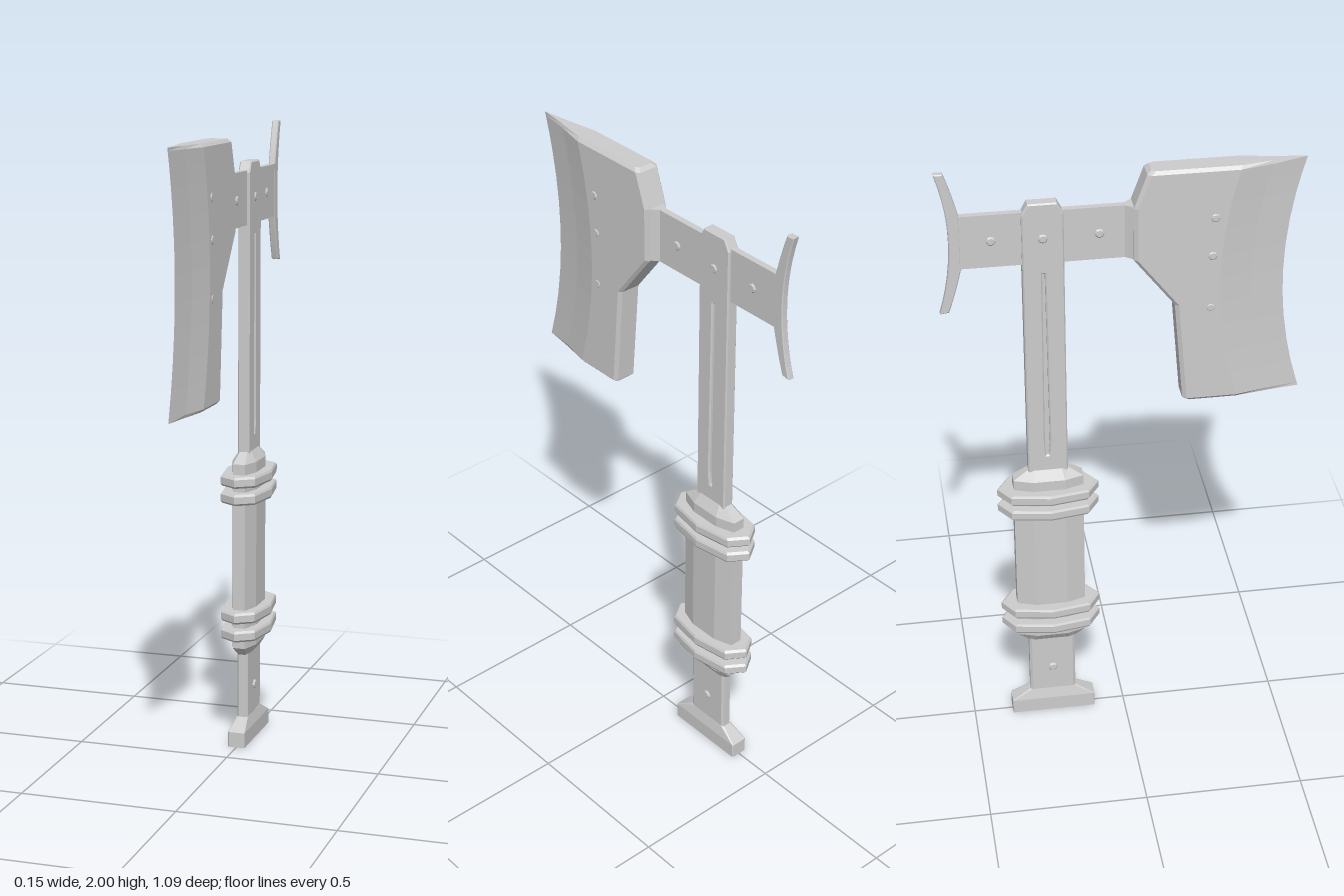
import * as THREE from 'three';

const HANDLE_Z = -0.237;
const material = new THREE.MeshStandardMaterial({ color: 0xcccccc, flatShading: true, side: THREE.DoubleSide });

// Skin a stack of equal-length rings of [x, y, z] points and close both ends.
function loft(rings) {
  const pos = [];
  const tri = (a, b, c) => pos.push(...a, ...b, ...c);
  const n = rings[0].length;
  for (let i = 0; i < rings.length - 1; i++) {
    for (let j = 0; j < n; j++) {
      const k = (j + 1) % n;
      const a = rings[i][j], b = rings[i][k], c = rings[i + 1][k], d = rings[i + 1][j];
      tri(a, d, b);
      tri(b, d, c);
    }
  }
  const low = rings[0], top = rings[rings.length - 1];
  for (let j = 1; j < n - 1; j++) {
    tri(low[0], low[j], low[j + 1]);
    tri(top[0], top[j + 1], top[j]);
  }
  const g = new THREE.BufferGeometry();
  g.setAttribute('position', new THREE.Float32BufferAttribute(pos, 3));
  g.computeVertexNormals();
  return g;
}

// Rectangle with cut corners around the handle axis.
function cutRing(y, hx, hz, cx, cz) {
  return [[hx, hz - cz], [hx - cx, hz], [cx - hx, hz], [-hx, hz - cz],
    [-hx, cz - hz], [cx - hx, -hz], [hx - cx, -hz], [hx, cz - hz]]
    .map(([x, z]) => [x, y, HANDLE_Z + z]);
}

// Eight-sided collar outline with a point at each end.
function collarRing(y, s) {
  return [[0.077, 0], [0.057, 0.122], [0, 0.16], [-0.057, 0.122],
    [-0.077, 0], [-0.057, -0.122], [0, -0.16], [0.057, -0.122]]
    .map(([x, z]) => [x * s, y, HANDLE_Z + z * s]);
}

// Extrude a (z, y) side outline across x, centred on x = 0.
function sidePlate(shape, width, bevel) {
  const g = new THREE.ExtrudeGeometry(shape, {
    depth: width - 2 * bevel, bevelEnabled: bevel > 0, bevelThickness: bevel,
    bevelSize: bevel, bevelOffset: -bevel, bevelSegments: 1, curveSegments: 12,
  });
  g.translate(0, 0, bevel - width / 2);
  g.rotateY(-Math.PI / 2);
  return g;
}

const outline = (pts) => new THREE.Shape(pts.map(([z, y]) => new THREE.Vector2(z, y)));

// Blade cross-section at height y; inset trims the chamfered end rows.
function bladeRing(y, back, inset) {
  const edge = 0.485 + 0.063 * ((y - 1.59) / 0.4) ** 2;
  const start = edge - 0.2, mid = edge - 0.1;
  const w = 0.04 - inset, b = back + inset;
  const m = 0.017 - inset * 0.4;
  return [[w - 0.009, b], [w, b + 0.012], [w, start], [m, mid], [0, edge],
    [-m, mid], [-w, start], [-w, b + 0.012], [0.009 - w, b]]
    .map(([x, z]) => [x, y, z]);
}

export function createModel() {
  const root = new THREE.Group();
  const add = (name, geometry) => {
    const mesh = new THREE.Mesh(geometry, material);
    mesh.name = name;
    root.add(mesh);
    return mesh;
  };

  // Pommel with sloped shoulder
  add('pommel', loft([
    cutRing(0, 0.028, 0.137, 0.003, 0.003),
    cutRing(0.05, 0.028, 0.137, 0.003, 0.003),
    cutRing(0.085, 0.019, 0.078, 0.006, 0.008),
  ]));

  // Lower shaft
  add('lowerShaft', loft([0.07, 0.31].map((y) => cutRing(y, 0.018, 0.075, 0.006, 0.008))));

  // Faceted grip
  add('grip', loft([
    cutRing(0.297, 0.02, 0.077, 0.008, 0.02),
    cutRing(0.327, 0.04, 0.11, 0.02, 0.06),
    cutRing(0.935, 0.04, 0.11, 0.02, 0.06),
    cutRing(0.967, 0.02, 0.062, 0.008, 0.02),
  ]));

  // Collars in pairs at each end of the grip
  for (const y of [0.377, 0.437, 0.827, 0.883]) {
    add('collar', loft([
      collarRing(y - 0.018, 0.95), collarRing(y - 0.011, 1),
      collarRing(y + 0.011, 1), collarRing(y + 0.018, 0.95),
    ]));
  }

  // Upper shaft with a long tapered groove on both faces
  const c = HANDLE_Z;
  const shaft = outline([
    [c - 0.062, 0.95], [c + 0.062, 0.95], [c + 0.062, 1.855],
    [c + 0.043, 1.89], [c - 0.043, 1.89], [c - 0.062, 1.855],
  ]);
  shaft.holes.push(outline([
    [c - 0.004, 1.02], [c - 0.008, 1.06], [c - 0.004, 1.66],
    [c + 0.004, 1.66], [c + 0.008, 1.06], [c + 0.004, 1.02],
  ]));
  add('upperShaft', sidePlate(shaft, 0.038, 0.004));
  const core = add('grooveFloor', new THREE.BoxGeometry(0.016, 0.68, 0.04));
  core.position.set(0, 1.34, c);

  // Crossbar carrying the blade and the rear crescent
  const bar = add('crossbar', new THREE.BoxGeometry(0.02, 0.17, 0.53));
  bar.position.set(0, 1.777, -0.235);

  // Flared neck between crossbar and blade
  add('bladeNeck', loft([1.692, 1.862].map((y) => [
    [0.01, y, 0.005], [0.028, y, 0.028], [0.028, y, 0.05],
    [-0.028, y, 0.05], [-0.028, y, 0.028], [-0.01, y, 0.005],
  ])));

  // Main blade: hollow-ground, with concave cutting edge
  const backLine = [[1.19, 0.18], [1.53, 0.152], [1.69, 0.028], [1.86, 0.028], [1.975, 0.07]];
  const backAt = (y) => {
    let i = 0;
    while (i < backLine.length - 2 && y > backLine[i + 1][0]) i++;
    const [y0, z0] = backLine[i], [y1, z1] = backLine[i + 1];
    return z0 + (z1 - z0) * (y - y0) / (y1 - y0);
  };
  const rows = [1.19, 1.2, 1.28, 1.36, 1.45, 1.53, 1.61, 1.69, 1.775, 1.86, 1.92, 1.965, 1.975];
  add('blade', loft(rows.map((y, i) =>
    bladeRing(y, backAt(y), i === 0 || i === rows.length - 1 ? 0.009 : 0))));

  // Rear crescent
  const crescent = new THREE.Shape();
  crescent.moveTo(-0.545, 2.0);
  crescent.quadraticCurveTo(-0.475, 1.775, -0.545, 1.545);
  crescent.lineTo(-0.518, 1.549);
  crescent.quadraticCurveTo(-0.496, 1.61, -0.477, 1.69);
  crescent.lineTo(-0.477, 1.86);
  crescent.quadraticCurveTo(-0.496, 1.94, -0.518, 2.0);
  add('rearCrescent', sidePlate(crescent, 0.022, 0.003));

  // Rivets: [y, z, half length, radius]
  const rivets = [
    [0.177, c, 0.025, 0.015], [1.777, c, 0.023, 0.015],
    [1.777, -0.07, 0.015, 0.015], [1.777, -0.388, 0.015, 0.015],
    [1.815, 0.268, 0.043, 0.015], [1.69, 0.262, 0.043, 0.015], [1.515, 0.26, 0.042, 0.015],
  ];
  for (const [y, z, half, r] of rivets) {
    const profile = [[0, -half], [r * 0.7, -half], [r, 0.004 - half],
      [r, half - 0.004], [r * 0.7, half], [0, half]];
    const rivet = add('rivet', new THREE.LatheGeometry(profile.map(([a, b]) => new THREE.Vector2(a, b)), 8));
    rivet.rotation.z = Math.PI / 2;
    rivet.position.set(0, y, z);
  }

  return root;
}
